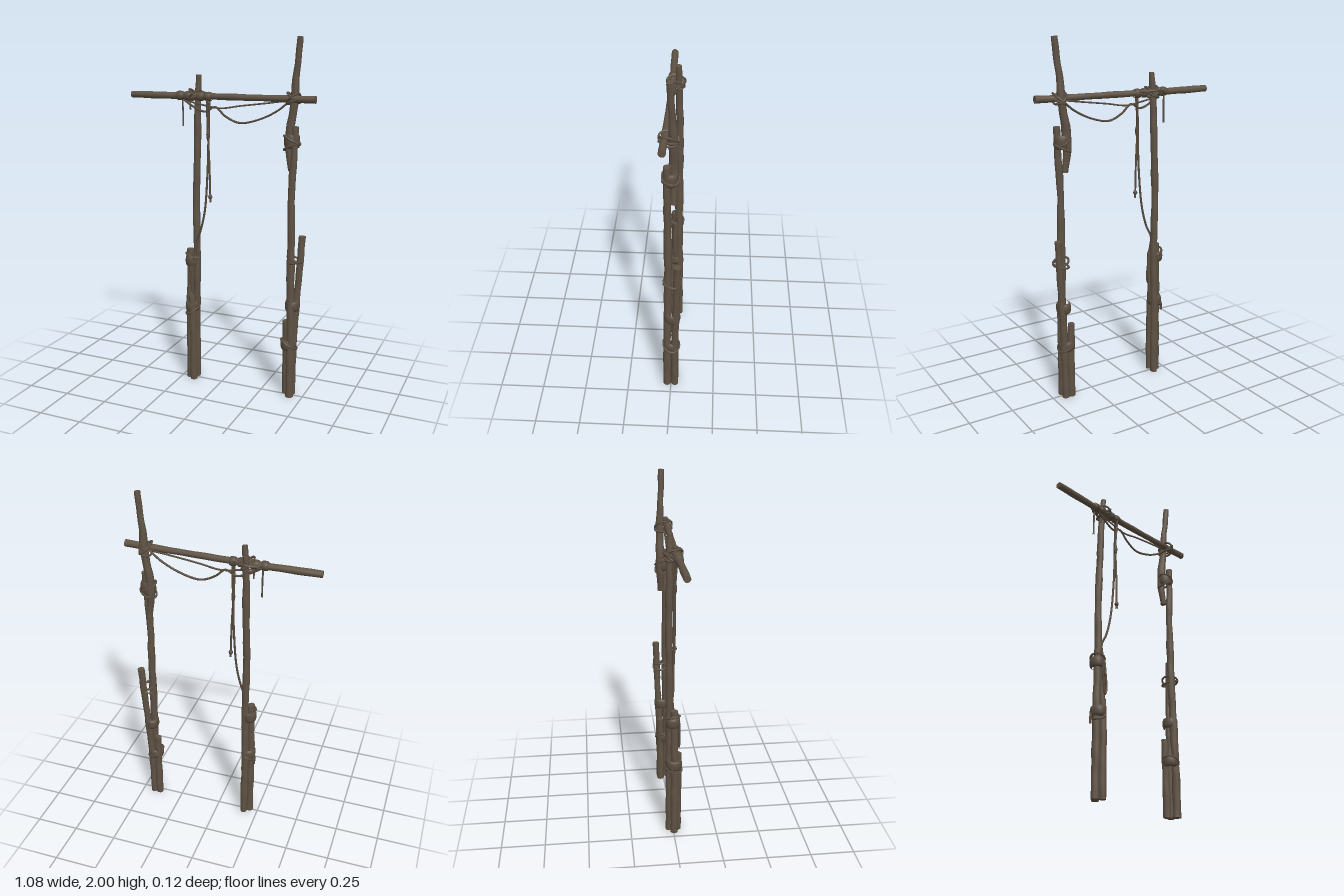
import * as THREE from 'three';

const wood = new THREE.MeshStandardMaterial({ color: 0x5f5244 });
wood.name = 'weathered wood';
const rope = new THREE.MeshStandardMaterial({ color: 0x594d40 });
rope.name = 'rope and binding';

const curveOf = (pts, closed = false) =>
  new THREE.CatmullRomCurve3(pts.map(p => new THREE.Vector3(...p)), closed, 'centripetal');

// Knobbly branch: rings swept along a curve, points are [x, y, z, radius]
function branchGeometry(pts, seed, knobs) {
  const curve = curveOf(pts.map(p => p.slice(0, 3)));
  const radii = pts.map(p => p[3]);
  const rings = Math.max(12, Math.round(curve.getLength() * 45)), sides = 12;
  const pos = [], index = [], centres = [];
  for (let i = 0; i <= rings; i++) {
    const t = i / rings, c = curve.getPoint(t), dir = curve.getTangent(t);
    const u = new THREE.Vector3(0, 0, 1).cross(dir).normalize();
    const v = dir.clone().cross(u);
    const f = t * (radii.length - 1), k = Math.min(Math.floor(f), radii.length - 2);
    const r = THREE.MathUtils.lerp(radii[k], radii[k + 1], f - k);
    const s = (c.x + c.y) * 14 + seed;
    for (let j = 0; j < sides; j++) {
      const a = j / sides * Math.PI * 2;
      const bump = 1 + knobs * (0.6 * Math.sin(s * 1.7) + 0.5 * Math.sin(s * 3.1 + a) + 0.4 * Math.sin(2 * a + s));
      const p = c.clone().addScaledVector(u, Math.cos(a) * r * bump).addScaledVector(v, Math.sin(a) * r * bump);
      pos.push(p.x, p.y, p.z);
    }
    centres.push(c);
  }
  for (let i = 0; i < rings; i++) for (let j = 0; j < sides; j++) {
    const a = i * sides + j, b = i * sides + (j + 1) % sides;
    index.push(a, b, a + sides, b, b + sides, a + sides);
  }
  // sawn ends with their own vertices, so the rim stays sharp
  for (const end of [0, rings]) {
    const base = pos.length / 3;
    for (let j = 0; j < sides; j++) pos.push(...pos.slice((end * sides + j) * 3, (end * sides + j) * 3 + 3));
    pos.push(...centres[end].toArray());
    for (let j = 0; j < sides; j++) {
      const a = base + j, b = base + (j + 1) % sides;
      index.push(...(end ? [a, b, base + sides] : [b, a, base + sides]));
    }
  }
  const g = new THREE.BufferGeometry();
  g.setAttribute('position', new THREE.Float32BufferAttribute(pos, 3));
  g.setIndex(index);
  g.computeVertexNormals();
  return g;
}

export function createModel() {
  const model = new THREE.Group();
  model.name = 'woodenFrame';
  const add = (name, geo, mat, parent) => {
    const m = new THREE.Mesh(geo, mat);
    m.name = name;
    parent.add(m);
    return m;
  };
  const group = name => {
    const g = new THREE.Group();
    g.name = name;
    model.add(g);
    return g;
  };
  const branch = (parent, name, pts, seed, knobs = 0.08) =>
    add(name, branchGeometry(pts, seed, knobs), wood, parent);
  const cord = (parent, name, pts, r = 0.006) =>
    add(name, new THREE.TubeGeometry(curveOf(pts), pts.length * 8, r, 6), rope, parent);

  // Cord loop round a post; the tilts lift its sides
  const loop = (parent, x, y, z, rx, rz, tiltX, tiltZ, r = 0.006) => {
    const pts = [];
    for (let i = 0; i < 12; i++) {
      const a = i / 12 * Math.PI * 2, c = Math.cos(a), s = Math.sin(a);
      pts.push([x + c * rx, y + c * tiltX + s * tiltZ, z + s * rz]);
    }
    add('cordLoop', new THREE.TubeGeometry(curveOf(pts, true), 32, r, 6, true), rope, parent);
  };
  // Bulging wrapped band round a post
  const band = (parent, name, x, y, z, rx, rz, h) => {
    const profile = [[0.7, -0.5], [0.88, -0.46], [0.98, -0.25], [1, 0], [0.98, 0.25], [0.88, 0.46], [0.7, 0.5]]
      .map(([r, t]) => new THREE.Vector2(r, t));
    const m = add(name, new THREE.LatheGeometry(profile, 20), rope, parent);
    m.position.set(x, y, z);
    m.scale.set(rx, h, rz);
    return m;
  };
  const knot = (parent, x, y, z, rx, ry) => {
    const m = add('knot', new THREE.SphereGeometry(1, 10, 8), rope, parent);
    m.position.set(x, y, z);
    m.scale.set(rx, ry, rx);
  };

  // Left post
  const left = group('leftPost');
  branch(left, 'mainPole', [[-0.168, 0, -0.022, 0.021], [-0.168, 0.45, -0.022, 0.021], [-0.163, 0.8, -0.02, 0.021],
    [-0.166, 1.1, -0.022, 0.02], [-0.157, 1.4, -0.022, 0.02], [-0.152, 1.62, -0.018, 0.019], [-0.142, 1.79, -0.015, 0.015]], 1);
  branch(left, 'outerPole', [[-0.198, 0, 0.004, 0.022], [-0.197, 0.4, 0.006, 0.022], [-0.192, 0.8, 0.004, 0.02]], 4);
  branch(left, 'frontPole', [[-0.168, 0, 0.026, 0.02], [-0.17, 0.25, 0.028, 0.02], [-0.174, 0.52, 0.03, 0.018]], 2);
  branch(left, 'splint', [[-0.16, 0.48, 0.004, 0.014], [-0.152, 0.62, 0.006, 0.016], [-0.15, 0.75, 0.002, 0.013]], 7);
  band(left, 'lowerBinding', -0.184, 0.455, 0.004, 0.04, 0.046, 0.06);
  band(left, 'upperBinding', -0.187, 0.73, -0.004, 0.039, 0.042, 0.06);
  loop(left, -0.184, 0.43, 0.003, 0.037, 0.044, 0.02, -0.012);
  loop(left, -0.184, 0.755, -0.004, 0.036, 0.04, -0.016, 0.008);
  cord(left, 'looseCord', [[-0.165, 0.77, 0.025], [-0.16, 0.68, 0.032], [-0.15, 0.58, 0.03], [-0.165, 0.55, 0.034], [-0.178, 0.64, 0.034], [-0.182, 0.72, 0.034]]);
  cord(left, 'cordTail', [[-0.215, 0.45, -0.01], [-0.223, 0.42, -0.012], [-0.223, 0.385, -0.012]], 0.007);

  // Right post
  const right = group('rightPost');
  branch(right, 'mainPole', [[0.428, 0, 0.022, 0.023], [0.428, 0.35, 0.02, 0.022], [0.42, 0.65, 0.016, 0.022],
    [0.418, 0.95, 0.014, 0.021], [0.415, 1.2, 0.016, 0.019], [0.424, 1.38, 0.016, 0.019], [0.428, 1.54, 0.014, 0.018]], 3);
  branch(right, 'shortPole', [[0.394, 0, -0.02, 0.022], [0.392, 0.22, -0.021, 0.021], [0.386, 0.44, -0.02, 0.018]], 5);
  branch(right, 'leaningPole', [[0.428, 0, -0.022, 0.02], [0.432, 0.3, -0.022, 0.021], [0.442, 0.55, -0.028, 0.02],
    [0.455, 0.75, -0.034, 0.019], [0.464, 0.935, -0.038, 0.02]], 6);
  branch(right, 'upperPole', [[0.4, 1.3, -0.014, 0.018], [0.387, 1.42, -0.018, 0.022], [0.392, 1.54, -0.016, 0.024],
    [0.41, 1.66, -0.016, 0.022], [0.416, 1.78, -0.012, 0.019], [0.43, 1.9, -0.006, 0.017], [0.438, 2, -0.003, 0.016]], 8, 0.09);
  band(right, 'lowBinding', 0.411, 0.31, -0.002, 0.046, 0.047, 0.06);
  band(right, 'middleBinding', 0.425, 0.54, -0.008, 0.04, 0.046, 0.06);
  band(right, 'highBinding', 0.406, 1.46, -0.001, 0.043, 0.041, 0.075);
  loop(right, 0.413, 0.31, -0.002, 0.044, 0.046, -0.025, 0.01);
  for (const [y, tx, tz] of [[0.79, 0.01, 0.006], [0.808, -0.014, 0.006]])
    loop(right, 0.436, y, -0.01, 0.042, 0.046, tx, tz);
  for (const [y, tx] of [[1.465, -0.022], [1.43, 0.02]])
    loop(right, 0.406, y, -0.001, 0.043, 0.042, tx, 0.008);

  // Crossbeam
  const beam = group('crossbeam');
  branch(beam, 'beam', [[-0.54, 1.674, 0.024, 0.019], [-0.3, 1.675, 0.021, 0.019], [-0.1, 1.678, 0.018, 0.018],
    [0.15, 1.681, 0.022, 0.017], [0.35, 1.683, 0.026, 0.018], [0.54, 1.685, 0.032, 0.02]], 2, 0.05);

  // Lashings round the beam
  const lashing = group('lashings');
  for (const [x, w] of [[-0.24, 0.038], [-0.19, 0.042], [-0.115, 0.036], [-0.07, 0.036]]) {
    const b = band(lashing, 'beamWrap', x, 1.677, 0.019, 0.026, 0.026, w);
    b.rotation.z = Math.PI / 2;
  }
  for (const [y, tx, tz] of [[1.68, 0.026, 0.012], [1.685, -0.026, 0.01], [1.665, 0.012, 0.004]]) {
    loop(lashing, -0.155, y, 0.002, 0.031, 0.046, tx, tz);
    loop(lashing, 0.412, y + 0.003, 0.006, 0.031, 0.048, tx, tz);
  }
  loop(lashing, -0.195, 1.682, -0.008, 0.032, 0.026, 0.012, -0.01);
  cord(lashing, 'backLashing', [[-0.235, 1.685, 0], [-0.2, 1.69, -0.036], [-0.155, 1.695, -0.05], [-0.105, 1.69, -0.03], [-0.075, 1.685, 0]]);

  // Hanging ropes
  const ropes = group('ropes');
  cord(ropes, 'shortHangingCord', [[-0.235, 1.67, 0.002], [-0.234, 1.58, 0], [-0.235, 1.505, 0]], 0.005);
  cord(ropes, 'shortHangingCord', [[-0.185, 1.67, 0.01], [-0.184, 1.6, 0.01]], 0.005);
  cord(ropes, 'saggingRope', [[-0.23, 1.665, 0.02], [-0.17, 1.625, 0.022], [-0.09, 1.595, 0.02], [-0.03, 1.622, 0.018],
    [0.03, 1.575, 0.018], [0.11, 1.543, 0.016], [0.22, 1.565, 0.014], [0.33, 1.62, 0.012], [0.4, 1.68, 0.008]]);
  cord(ropes, 'tautRope', [[-0.2, 1.65, 0.02], [-0.1, 1.63, 0.02], [0, 1.617, 0.018], [0.12, 1.635, 0.02], [0.28, 1.657, 0.018], [0.4, 1.675, 0.01]], 0.005);
  cord(ropes, 'hangingRope', [[-0.073, 1.67, 0.035], [-0.074, 1.5, 0.022], [-0.065, 1.3, 0.02], [-0.06, 1.09, 0.02]], 0.006);
  cord(ropes, 'tiedRope', [[-0.068, 1.67, 0.01], [-0.073, 1.45, 0.014], [-0.08, 1.25, 0.014], [-0.1, 1.03, 0.01],
    [-0.13, 0.91, 0.006], [-0.155, 0.85, -0.002], [-0.15, 0.76, 0.006]]);
  knot(ropes, -0.072, 1.47, 0.02, 0.011, 0.035);
  knot(ropes, -0.061, 1.12, 0.02, 0.012, 0.014);

  return model;
}
